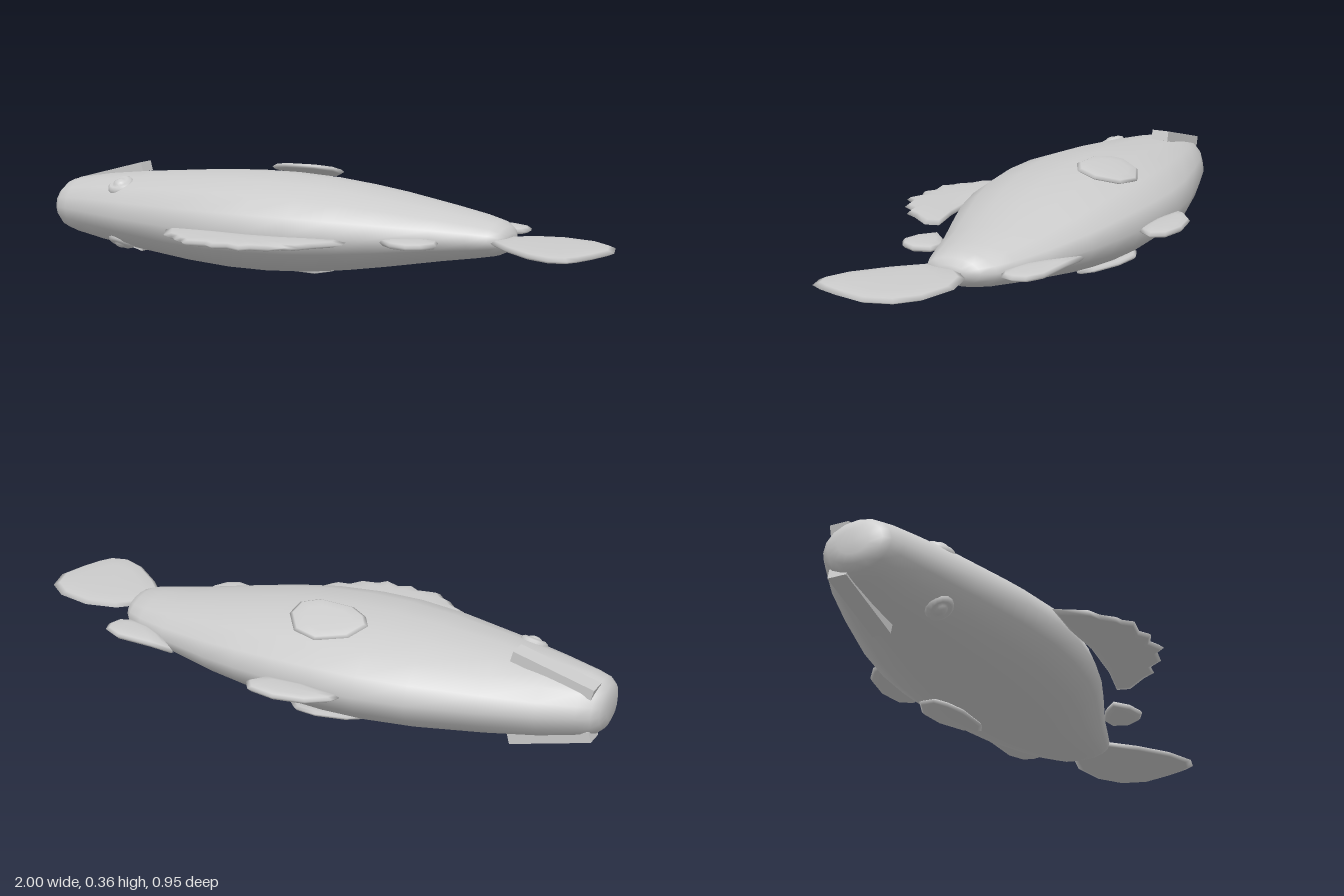
import * as THREE from 'three';
import { mergeVertices } from 'three/addons/utils/BufferGeometryUtils.js';

const MID = 0.185; // height of the fish's plane of symmetry (it lies on its side)

// Smooth skin through a list of closed rings with equal point counts
function loft(rings) {
  const n = rings[0].length, index = [];
  for (let j = 0; j < rings.length - 1; j++) {
    for (let i = 0; i < n; i++) {
      const k = (i + 1) % n, a = j * n + i, b = j * n + k, c = b + n, d = a + n;
      index.push(a, b, d, b, c, d);
    }
  }
  let geo = new THREE.BufferGeometry();
  geo.setAttribute('position', new THREE.Float32BufferAttribute(rings.flat(2), 3));
  geo.setIndex(index);
  geo = mergeVertices(geo, 1e-5);
  geo.computeVertexNormals();
  return geo;
}

// Lens-shaped fin around an (x, z) outline, centred on its own origin
function finGeometry(outline, thickness) {
  const pts = outline.map(([x, z]) => new THREE.Vector2(x, z));
  if (THREE.ShapeUtils.area(pts) > 0) pts.reverse();
  const c = new THREE.Box2().setFromPoints(pts).getCenter(new THREE.Vector2());
  const profile = [[0, -1], [0.6, -0.88], [0.9, -0.6], [1, 0], [0.9, 0.6], [0.6, 0.88], [0, 1]];
  const rings = profile.map(([s, h]) =>
    pts.map((p) => [(p.x - c.x) * s, h * thickness / 2, (p.y - c.y) * s]));
  return { geo: loft(rings), c };
}

export function createModel() {
  const group = new THREE.Group();
  const grey = new THREE.MeshStandardMaterial({ color: 0xcccccc });
  grey.name = 'light grey';

  function add(name, geo, parent = group) {
    const mesh = new THREE.Mesh(geo, grey);
    mesh.name = name;
    parent.add(mesh);
    return mesh;
  }

  // Body: x, belly z, back z, half thickness
  const stations = [
    [-1, -0.09, -0.09, 0], [-1, -0.14, -0.04, 0.04], [-0.99, -0.178, -0.003, 0.065],
    [-0.97, -0.2, 0.016, 0.083], [-0.93, -0.22, 0.034, 0.094], [-0.82, -0.265, 0.076, 0.112],
    [-0.66, -0.312, 0.136, 0.13], [-0.45, -0.363, 0.206, 0.148], [-0.29, -0.383, 0.24, 0.156],
    [-0.15, -0.383, 0.247, 0.156], [0, -0.37, 0.235, 0.148], [0.13, -0.35, 0.205, 0.133],
    [0.25, -0.325, 0.165, 0.115], [0.43, -0.267, 0.1, 0.084], [0.54, -0.218, 0.068, 0.066],
    [0.6, -0.18, 0.05, 0.054], [0.63, -0.14, 0.038, 0.04], [0.645, -0.1, 0.0, 0.02],
    [0.648, -0.05, -0.05, 0],
  ];
  add('body', loft(stations.map(([x, z0, z1, h]) =>
    Array.from({ length: 16 }, (_, i) => {
      const a = i * Math.PI / 8;
      return [x, MID + h * Math.cos(a), (z0 + z1) / 2 + (z1 - z0) / 2 * Math.sin(a)];
    }))));

  // Fins lying in the plane of symmetry
  const fins = {
    dorsalFin: [[-0.4, 0.255], [-0.35, 0.35], [-0.31, 0.37], [-0.275, 0.41], [-0.25, 0.42],
      [-0.225, 0.45], [-0.155, 0.44], [-0.12, 0.465], [-0.075, 0.445], [-0.02, 0.47],
      [0.005, 0.44], [0.065, 0.43], [0.095, 0.385], [0.14, 0.38], [0.165, 0.337],
      [0.225, 0.267], [0.215, 0.225], [0.08, 0.25], [-0.1, 0.262], [-0.25, 0.25]],
    rearDorsalFin: [[0.305, 0.176], [0.355, 0.13], [0.42, 0.1], [0.47, 0.11], [0.487, 0.165],
      [0.46, 0.214], [0.417, 0.237], [0.355, 0.22]],
    analFin: [[0.342, -0.337], [0.43, -0.323], [0.567, -0.312], [0.625, -0.28], [0.638, -0.24],
      [0.628, -0.205], [0.594, -0.19], [0.51, -0.21], [0.43, -0.26]],
    pelvicFin: [[-0.26, -0.395], [-0.246, -0.42], [-0.18, -0.465], [-0.075, -0.48], [0.016, -0.46],
      [0.043, -0.417], [0.005, -0.37], [-0.13, -0.365]],
    tailFin: [[0.6, 0.03], [0.63, -0.07], [0.685, -0.12], [0.79, -0.14], [0.905, -0.11],
      [0.975, -0.05], [1, 0.04], [0.975, 0.135], [0.95, 0.2], [0.925, 0.24], [0.87, 0.252],
      [0.79, 0.215], [0.685, 0.125]],
  };
  for (const [name, outline] of Object.entries(fins)) {
    const { geo, c } = finGeometry(outline, 0.029);
    add(name, geo).position.set(c.x, MID, c.y);
  }

  // Paired parts: the second side is the first one turned about and mirrored in y
  const pectoral = finGeometry([[-0.26, -0.2], [-0.225, -0.267], [-0.13, -0.307], [-0.05, -0.283],
    [0, -0.21], [-0.008, -0.15], [-0.064, -0.12], [-0.18, -0.128], [-0.235, -0.16]], 0.024);

  // Raised eye: rounded rim, shallow groove and a domed pupil
  const eyeProfile = [[0.04, -0.03], [0.047, -0.005], [0.042, 0.01], [0.032, 0.016], [0.024, 0.011],
    [0.019, 0.018], [0.01, 0.022], [0, 0.023]].map(([x, y]) => new THREE.Vector2(x, y));
  const eyeGeo = new THREE.LatheGeometry(eyeProfile, 14);
  const up = new THREE.Vector3(0, 1, 0);

  for (const [side, s] of [['upper', 1], ['lower', -1]]) {
    const half = new THREE.Group();
    half.name = side + 'Side';
    half.position.y = MID;
    half.scale.y = s;
    group.add(half);

    const fin = add(side + 'PectoralFin', pectoral.geo, half);
    fin.position.set(pectoral.c.x, 0.15, pectoral.c.y);
    fin.rotation.x = -0.28;

    const eye = add(side + 'Eye', eyeGeo, half);
    eye.position.set(-0.705, 0.092, 0.034);
    eye.quaternion.setFromUnitVectors(up, new THREE.Vector3(-0.15, 0.85, 0.46).normalize());

    // Lip bar along the jaw
    const lip = add(side + 'Lip', new THREE.BoxGeometry(0.265, 0.034, 0.06), half);
    lip.position.set(-0.84, 0.102, -0.147);
    lip.rotation.set(0, -0.04, 0.26);
  }
  return group;
}
